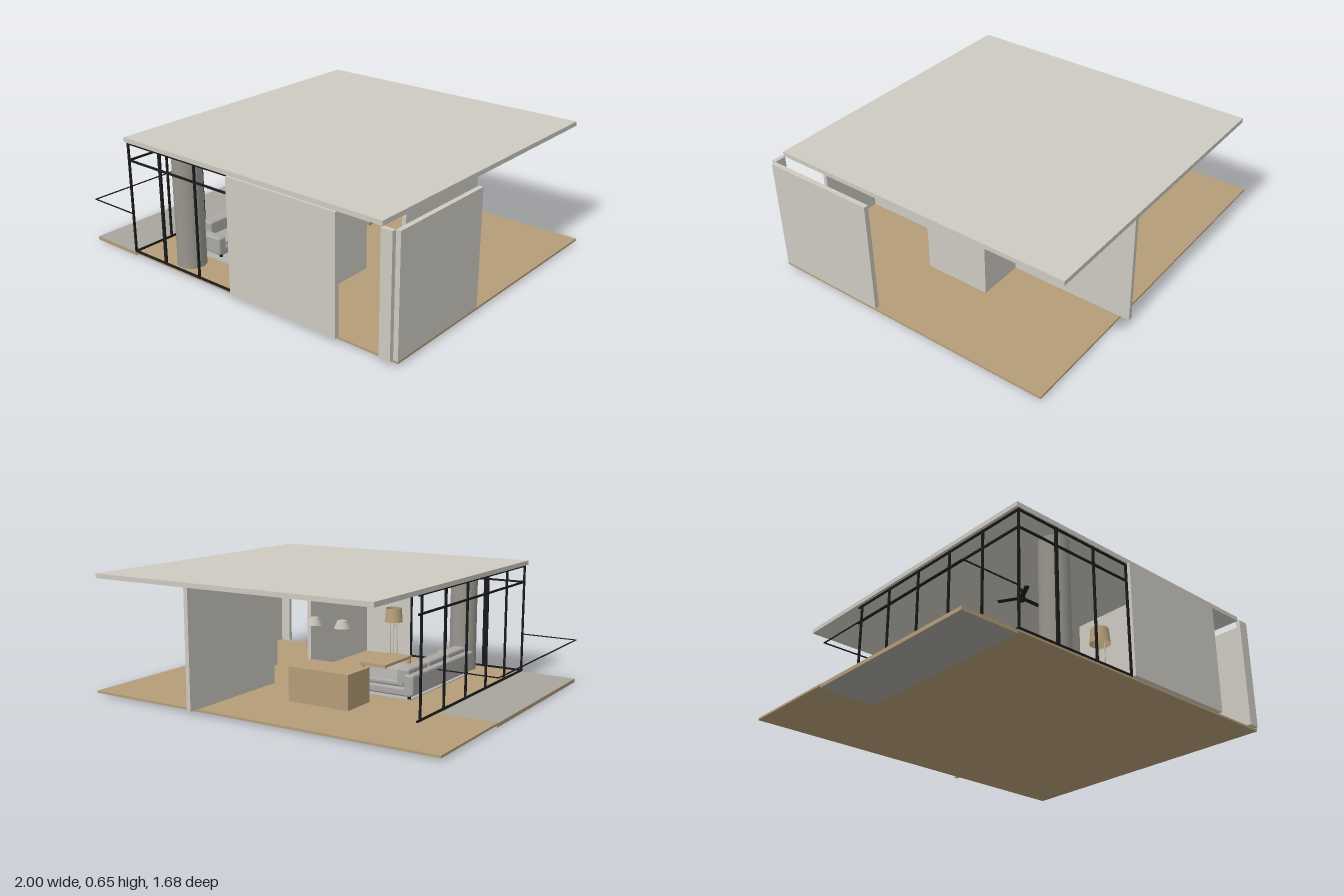
import * as THREE from 'three';
import { RoundedBoxGeometry } from 'three/addons/geometries/RoundedBoxGeometry.js';

const mat = (name, color, extra = {}) => {
  const m = new THREE.MeshStandardMaterial({ color, ...extra });
  m.name = name;
  return m;
};

export function createModel() {
  const model = new THREE.Group();
  model.name = 'openPavilion';

  const plaster = mat('plaster', 0xcdcac1);
  const wood = mat('wood', 0xb49c78);
  const stone = mat('terraceStone', 0xa8a59d);
  const black = mat('blackMetal', 0x1b1b1b);
  const concrete = mat('columnConcrete', 0x98958d);
  const fabric = mat('sofaFabric', 0xa9a8a5);
  const rugGrey = mat('rugGrey', 0xb3b1ac);
  const shade = mat('lampShade', 0xc4c0b6, { side: THREE.DoubleSide });
  const woodShade = mat('floorLampShade', 0xb8a07c, { side: THREE.DoubleSide });

  const add = (name, geometry, material, parent = model) => {
    const mesh = new THREE.Mesh(geometry, material);
    mesh.name = name;
    parent.add(mesh);
    return mesh;
  };
  // Box given by its limits on each axis
  const box = (name, material, [x0, x1], [y0, y1], [z0, z1], parent = model) => {
    const mesh = add(name, new THREE.BoxGeometry(x1 - x0, y1 - y0, z1 - z0), material, parent);
    mesh.position.set((x0 + x1) / 2, (y0 + y1) / 2, (z0 + z1) / 2);
    return mesh;
  };
  const soft = (name, [x0, x1], [y0, y1], [z0, z1], parent) => {
    const mesh = add(name, new RoundedBoxGeometry(x1 - x0, y1 - y0, z1 - z0, 2, 0.012), fabric, parent);
    mesh.position.set((x0 + x1) / 2, (y0 + y1) / 2, (z0 + z1) / 2);
  };
  const group = (name) => {
    const g = new THREE.Group();
    g.name = name;
    model.add(g);
    return g;
  };

  // Slabs
  box('roof', plaster, [-0.705, 0.915], [0.626, 0.65], [-0.845, 0.825]);
  box('floor', wood, [-0.69, 1], [0.011, 0.022], [-0.79, 0.815]);
  box('rearFloor', wood, [-1, -0.69], [0.011, 0.022], [-0.79, -0.215]);
  box('terrace', [wood, wood, stone, stone, wood, wood], [-1, -0.69], [0, 0.019], [-0.215, 0.815]);

  // Full-height walls
  const H = [0.022, 0.626];
  const walls = group('walls');
  box('frontWall', plaster, [0.025, 0.675], H, [0.815, 0.838], walls);
  box('frontReturn', plaster, [0.915, 0.975], H, [0.815, 0.838], walls);
  box('sideWall', plaster, [0.975, 1], H, [0.2, 0.815], walls);
  box('innerFrontWall', plaster, [0.33, 0.353], H, [0.205, 0.815], walls);
  box('innerRearWall', plaster, [0.32, 0.343], H, [-0.84, -0.16], walls);
  box('nicheBackWall', plaster, [0.343, 0.59], H, [-0.16, -0.137], walls);
  box('nicheSideWall', plaster, [0.567, 0.59], H, [-0.137, 0.205], walls);

  // Column
  add('column', new THREE.CylinderGeometry(0.075, 0.075, 0.604, 40), concrete)
    .position.set(-0.37, 0.324, 0.715);

  // Window frames along the front and side
  const frames = group('windowFrames');
  const t = 0.005;
  for (const x of [-0.687, -0.455, -0.21, 0.02]) {
    const w = x === -0.455 ? 0.008 : t;
    box('frontMullion', black, [x - w, x + w], [0.022, 0.626], [0.81, 0.82], frames);
  }
  for (let i = 0; i < 5; i++) {
    const z = -0.39 + i * 0.241;
    box('sideMullion', black, [-0.692, -0.682], [0.022, 0.626], [z - t, z + t], frames);
  }
  for (const y of [0.027, 0.53, 0.62]) {
    box('frontRail', black, [-0.69, 0.025], [y - t, y + t], [0.811, 0.819], frames);
    box('sideRail', black, [-0.691, -0.683], [y - t, y + t], [-0.42, 0.815], frames);
  }

  // Thin terrace handrail
  const rail = group('terraceRail');
  const R = [0.233, 0.238];
  box('outerRail', black, [-1, -0.995], R, [-0.217, 0.815], rail);
  for (const z of [-0.215, 0.813]) {
    box('endRail', black, [-1, -0.685], R, [z - 0.0025, z + 0.0025], rail);
  }

  // Sofa with chaise
  const sofa = group('sofa');
  soft('sofaBase', [-0.48, -0.28], [0.04, 0.085], [-0.1, 0.6], sofa);
  soft('sofaBack', [-0.49, -0.435], [0.045, 0.155], [-0.1, 0.6], sofa);
  soft('chaise', [-0.3, -0.13], [0.04, 0.085], [-0.1, 0.12], sofa);
  soft('chaiseCushion', [-0.43, -0.13], [0.085, 0.115], [-0.09, 0.12], sofa);
  soft('armRest', [-0.48, -0.28], [0.045, 0.14], [0.56, 0.61], sofa);
  for (let i = 0; i < 3; i++) {
    const z = -0.09 + i * 0.22;
    soft('backCushion', [-0.46, -0.39], [0.1, 0.182], [z, z + 0.21], sofa);
    if (i) soft('seatCushion', [-0.43, -0.28], [0.085, 0.115], [z, z + 0.21], sofa);
  }
  for (const [x, z] of [[-0.46, -0.08], [-0.46, 0.58], [-0.3, 0.58], [-0.15, -0.08], [-0.15, 0.1]]) {
    box('sofaFoot', black, [x - 0.006, x + 0.006], [0.022, 0.042], [z - 0.006, z + 0.006], sofa);
  }

  // Rug and coffee table
  box('rug', rugGrey, [-0.47, 0.03], [0.022, 0.026], [-0.09, 0.62]);
  const table = group('coffeeTable');
  box('tableTop', wood, [-0.14, 0.02], [0.085, 0.1], [0.23, 0.53], table);
  for (const x of [-0.13, 0.01]) {
    for (const z of [0.24, 0.52]) {
      box('tableLeg', wood, [x - 0.007, x + 0.007], [0.026, 0.085], [z - 0.007, z + 0.007], table);
    }
  }

  // Kitchen island with pendant lamps above
  box('kitchenIsland', wood, [-0.31, 0.04], [0.022, 0.2], [-0.42, -0.22]);
  for (const x of [-0.215, -0.05]) {
    add('pendantShade', new THREE.CylinderGeometry(0.023, 0.04, 0.037, 24, 1, true), shade)
      .position.set(x, 0.423, -0.325);
    add('pendantCap', new THREE.CylinderGeometry(0.023, 0.023, 0.003, 24), shade)
      .position.set(x, 0.441, -0.325);
  }

  // Floor lamp
  const lamp = group('floorLamp');
  add('floorLampShade', new THREE.CylinderGeometry(0.045, 0.052, 0.08, 28, 1, true), woodShade, lamp)
    .position.set(0.03, 0.305, 0.62);
  for (let i = 0; i < 3; i++) {
    const pole = add('floorLampLeg', new THREE.CylinderGeometry(0.003, 0.003, 0.25, 8), shade, lamp);
    const a = Math.PI + i * Math.PI * 2 / 3;
    pole.position.set(0.03 + Math.cos(a) * 0.022, 0.147, 0.62 + Math.sin(a) * 0.022);
  }

  // Ceiling fan
  const fan = group('ceilingFan');
  fan.position.set(-0.19, 0, 0.3);
  add('fanRod', new THREE.CylinderGeometry(0.004, 0.004, 0.06, 10), black, fan).position.y = 0.596;
  add('fanMotor', new THREE.CylinderGeometry(0.02, 0.016, 0.022, 20), black, fan).position.y = 0.564;
  for (let i = 0; i < 3; i++) {
    const arm = new THREE.Group();
    arm.name = 'fanBlade';
    arm.rotation.y = i * Math.PI * 2 / 3;
    fan.add(arm);
    box('blade', black, [0.015, 0.125], [0.568, 0.572], [-0.012, 0.012], arm);
  }

  return model;
}
